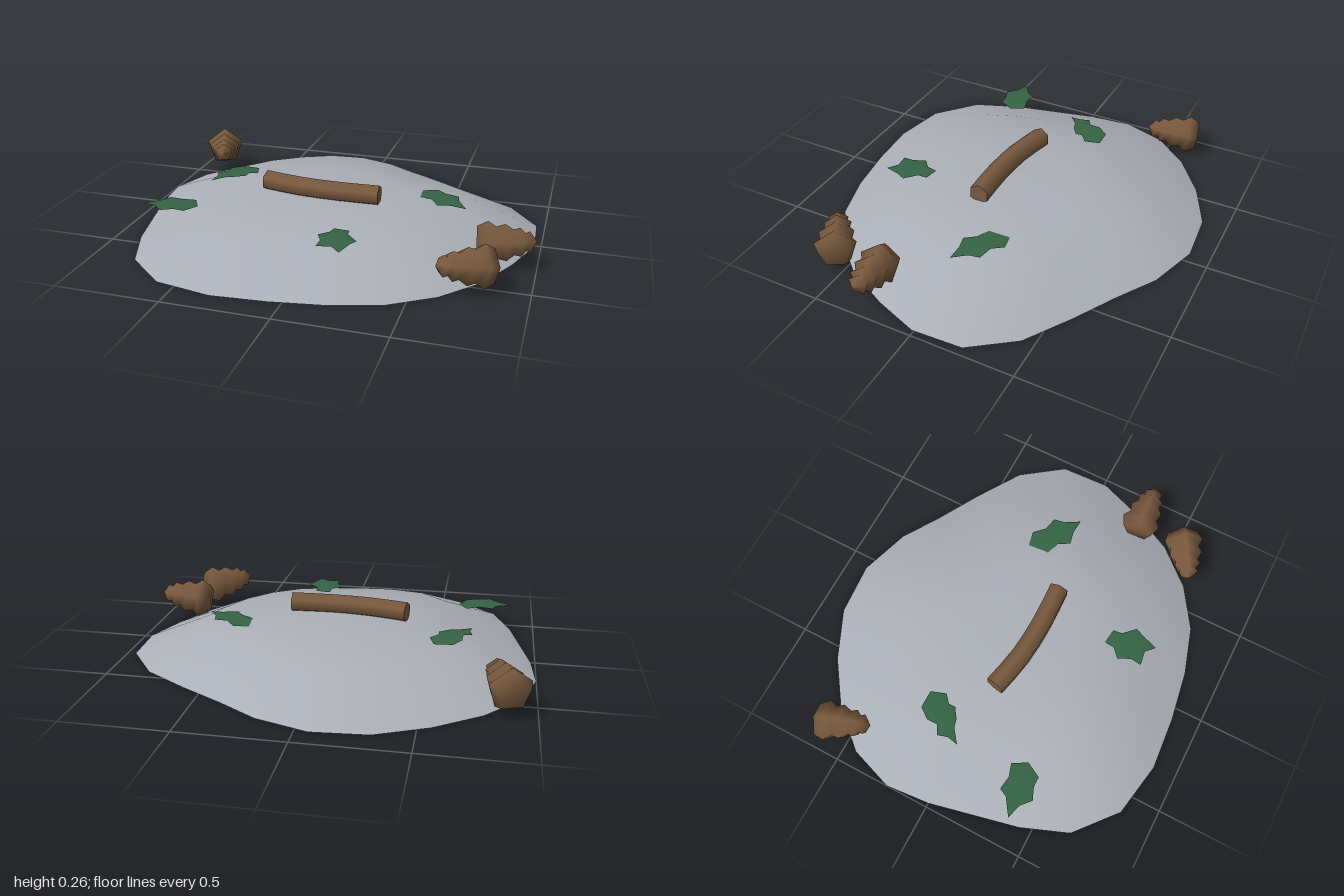
import * as THREE from 'three';

const mat = (name, color, side = THREE.FrontSide) => {
  const m = new THREE.MeshStandardMaterial({ color, side });
  m.name = name;
  return m;
};

// Builds a surface from concentric closed loops that end in one centre point
function loopSurface(loops, centre) {
  const n = loops[0].length, index = [];
  const positions = [...loops.flat(2), ...centre];
  for (let r = 0; r < loops.length; r++) {
    for (let i = 0; i < n; i++) {
      const a = r * n + i, b = r * n + (i + 1) % n;
      if (r === loops.length - 1) index.push(a, loops.length * n, b);
      else index.push(a, a + n, b, b, a + n, b + n);
    }
  }
  const g = new THREE.BufferGeometry();
  g.setAttribute('position', new THREE.Float32BufferAttribute(positions, 3));
  g.setIndex(index);
  g.computeVertexNormals();
  return g;
}

// Ground outline as [x, z], clockwise seen from above
const MOUND = [
  [-0.06, -0.9], [0.19, -0.82], [0.38, -0.7], [0.59, -0.58], [0.81, -0.44], [0.96, -0.235],
  [0.97, 0.01], [0.89, 0.23], [0.78, 0.45], [0.62, 0.63], [0.42, 0.76], [0.19, 0.83],
  [-0.06, 0.87], [-0.32, 0.89], [-0.59, 0.84], [-0.79, 0.67], [-0.88, 0.44], [-0.93, 0.22],
  [-0.98, 0], [-1, -0.22], [-0.925, -0.44], [-0.77, -0.62], [-0.56, -0.77], [-0.32, -0.88],
];

// Jagged leaf outlines as [x, z], clockwise seen from above
const LEAVES = {
  backRightLeaf: [[-0.61, -0.23], [-0.52, -0.23], [-0.495, -0.155], [-0.535, -0.12], [-0.535, -0.085],
    [-0.585, -0.05], [-0.625, -0.04], [-0.69, 0.01], [-0.68, -0.045], [-0.695, -0.095], [-0.65, -0.12], [-0.65, -0.175]],
  backLeftLeaf: [[0.38, -0.165], [0.465, -0.18], [0.51, -0.13], [0.58, -0.115], [0.59, -0.06],
    [0.635, 0.01], [0.56, 0.005], [0.495, 0.02], [0.46, -0.035], [0.395, -0.06], [0.37, -0.11]],
  frontRightLeaf: [[-0.88, 0.385], [-0.8, 0.33], [-0.78, 0.29], [-0.715, 0.3], [-0.65, 0.28],
    [-0.61, 0.35], [-0.65, 0.425], [-0.7, 0.425], [-0.76, 0.45], [-0.81, 0.405]],
  frontLeftLeaf: [[0.095, 0.41], [0.17, 0.42], [0.175, 0.465], [0.23, 0.52], [0.21, 0.565],
    [0.185, 0.645], [0.14, 0.605], [0.07, 0.615], [0.075, 0.56], [0.045, 0.5], [0.09, 0.46]],
};

function leafGeometry(outline) {
  const c = [0, 1].map(k => outline.reduce((s, p) => s + p[k], 0) / outline.length);
  // edges droop below the middle
  const rim = outline.map(([x, z]) => [x, 0.172 - 0.11 * Math.hypot(x - c[0], z - c[1]), z]);
  return loopSurface([rim], [c[0], 0.172, c[1]]);
}

// Five-sided scaly cone: [radius, distance from the base]
const CONE = [
  [0, 0], [0.08, 0], [0.103, 0.05], [0.076, 0.085], [0.087, 0.125], [0.06, 0.16],
  [0.068, 0.19], [0.042, 0.21], [0.05, 0.23], [0, 0.26],
].map(p => new THREE.Vector2(...p));

export function createModel() {
  const group = new THREE.Group();
  const stone = mat('pale grey ground', 0xabafb7, THREE.DoubleSide);
  const bark = mat('bark brown', 0x7a5a3e);
  const green = mat('leaf green', 0x356344, THREE.DoubleSide);
  const add = (name, geometry, material, parent = group) => {
    const mesh = new THREE.Mesh(geometry, material);
    mesh.name = name;
    parent.add(mesh);
    return mesh;
  };

  // Low domed ground, open underneath
  const loops = [[1, 0], [0.67, 0.135], [0.34, 0.168]]
    .map(([s, y]) => MOUND.map(([x, z]) => [x * s, y, z * s]));
  add('mound', loopSurface(loops, [0, 0.178, 0]), stone);

  // Bent stick with capped ends
  const path = new THREE.CatmullRomCurve3([
    [-0.365, 0.207, 0.04], [-0.18, 0.207, 0.08], [0.02, 0.207, 0.094], [0.225, 0.207, 0.088],
  ].map(p => new THREE.Vector3(...p)));
  const stick = new THREE.Group();
  stick.name = 'stick';
  group.add(stick);
  add('stickBark', new THREE.TubeGeometry(path, 6, 0.052, 6, false), bark, stick);
  for (const t of [0, 1]) {
    const frames = path.computeFrenetFrames(6, false), k = t * 6;
    const cap = new THREE.CircleGeometry(0.052, 6);
    // same ring order as the tube, turned outward at each end
    const out = frames.tangents[k].clone().multiplyScalar(t ? 1 : -1);
    const side = frames.normals[k].clone();
    const up = out.clone().cross(side);
    cap.applyMatrix4(new THREE.Matrix4().makeBasis(side, up, out).setPosition(path.getPointAt(t)));
    add(t ? 'stickLeftEnd' : 'stickRightEnd', cap, bark, stick);
  }

  // Fallen cones, each lying from base to tip with one corner up
  const cones = [
    ['leftCone', [0.735, 0.12, 0.29], [0.99, 0.15, 0.275]],
    ['frontLeftCone', [0.825, 0.12, 0.505], [0.61, 0.15, 0.635]],
    ['backRightCone', [-0.89, 0.12, -0.645], [-0.8, 0.15, -0.405]],
  ];
  for (const [name, base, tip] of cones) {
    const mesh = add(name, new THREE.LatheGeometry(CONE, 5), bark);
    const from = new THREE.Vector3(...base);
    const axis = new THREE.Vector3(...tip).sub(from).normalize();
    const side = new THREE.Vector3(0, 1, 0).cross(axis).normalize();
    const up = axis.clone().cross(side);
    mesh.quaternion.setFromRotationMatrix(new THREE.Matrix4().makeBasis(side.negate(), axis, up));
    mesh.position.copy(from);
  }

  // Scattered leaves
  for (const [name, outline] of Object.entries(LEAVES)) add(name, leafGeometry(outline), green);

  return group;
}
